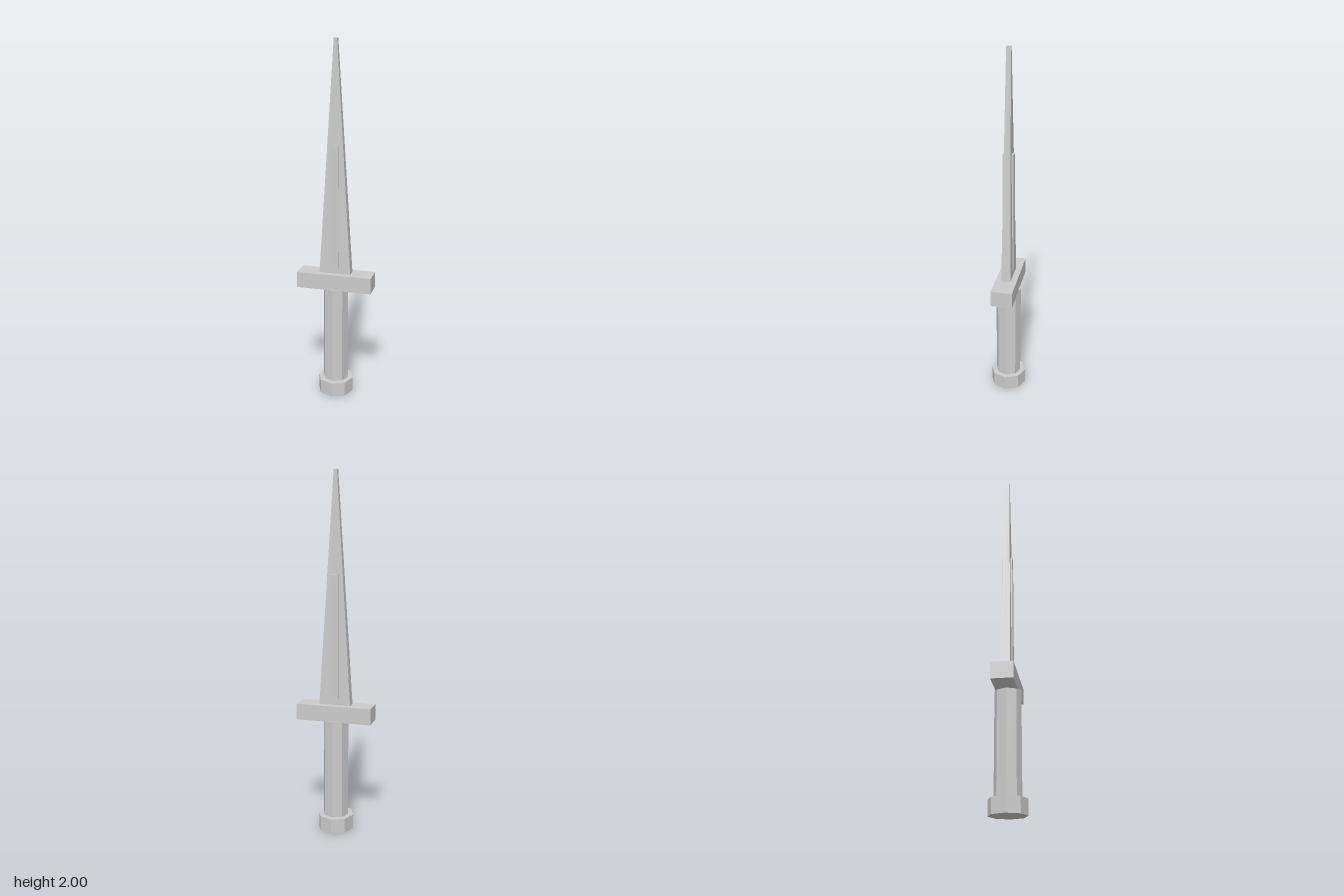
import * as THREE from 'three';

const material = new THREE.MeshStandardMaterial({ color: 0xcccccc, flatShading: true });

function addPart(group, name, geometry, y0, y1, z = 0) {
  const mesh = new THREE.Mesh(geometry, material);
  mesh.name = name;
  mesh.position.set(0, (y0 + y1) / 2, z);
  group.add(mesh);
}

// Box whose top end is scaled in x and z
function taperedBox(width, height, depth, topWidth, topDepth) {
  const geometry = new THREE.BoxGeometry(width, height, depth);
  const p = geometry.attributes.position;
  for (let i = 0; i < p.count; i++) {
    if (p.getY(i) > 0) {
      p.setX(i, p.getX(i) * topWidth / width);
      p.setZ(i, p.getZ(i) * topDepth / depth);
    }
  }
  geometry.computeVertexNormals();
  return geometry;
}

export function createModel() {
  const dagger = new THREE.Group();
  dagger.name = 'dagger';
  const midZ = -0.0015;

  // Octagonal handle
  addPart(dagger, 'pommel', new THREE.CylinderGeometry(0.102, 0.102, 0.083, 8), 0, 0.083);
  addPart(dagger, 'grip', new THREE.CylinderGeometry(0.072, 0.072, 0.567, 8), 0.078, 0.645);

  // Crossguard
  addPart(dagger, 'guard', new THREE.BoxGeometry(0.426, 0.09, 0.119), 0.64, 0.73, midZ);

  // Blade tapering to a small blunt tip
  addPart(dagger, 'blade', taperedBox(0.178, 1.27, 0.052, 0.018, 0.024), 0.73, 2, midZ);

  // Straight raised rib running through both faces of the blade
  addPart(dagger, 'bladeRib', new THREE.BoxGeometry(0.042, 0.68, 0.059), 0.77, 1.45, midZ);

  return dagger;
}
